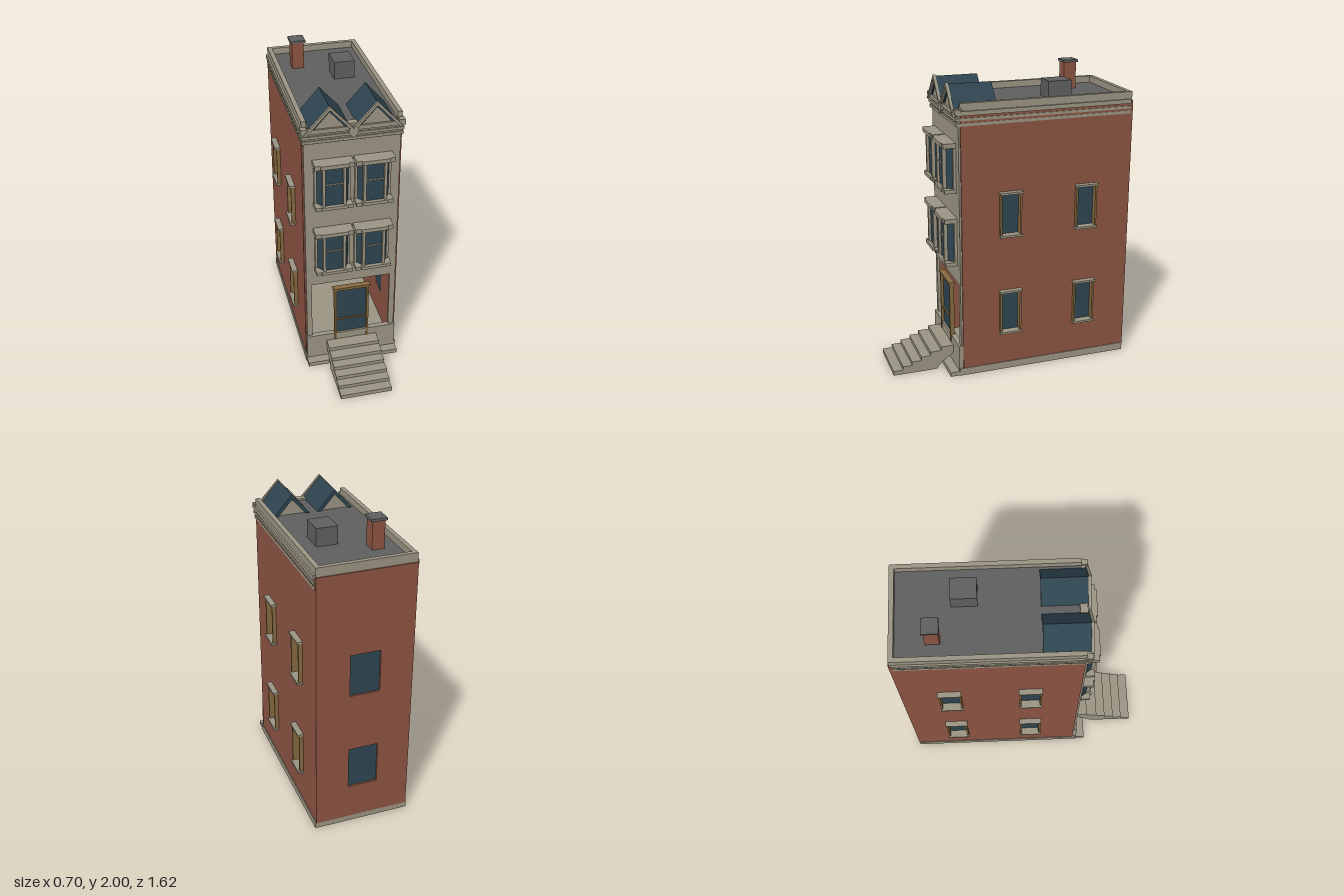
import * as THREE from 'three';

const material = (name, color) => {
  const m = new THREE.MeshStandardMaterial({ color });
  m.name = name;
  return m;
};

export function createModel() {
  const brick = material('brick', 0x8c5442);
  const stone = material('stone', 0x9a9482);
  const slate = material('roof grey', 0x5f5f5f);
  const glass = material('dark glass', 0x2e4450);
  const wood = material('wood', 0x85693f);

  const house = new THREE.Group();
  house.name = 'townhouse';

  const add = (parent, name, geometry, mat) => {
    const mesh = new THREE.Mesh(geometry, mat);
    mesh.name = name;
    parent.add(mesh);
    return mesh;
  };
  // box given by its minimum and maximum on each axis
  const box = (name, mat, x0, x1, y0, y1, z0, z1, parent = house) => {
    const mesh = add(parent, name, new THREE.BoxGeometry(x1 - x0, y1 - y0, z1 - z0), mat);
    mesh.position.set((x0 + x1) / 2, (y0 + y1) / 2, (z0 + z1) / 2);
    return mesh;
  };
  const polygon = (points) => new THREE.Shape(points.map(([x, y]) => new THREE.Vector2(x, y)));
  const rect = (x0, x1, y0, y1) => polygon([[x0, y0], [x1, y0], [x1, y1], [x0, y1]]);
  const extrude = (shape, depth) => new THREE.ExtrudeGeometry(shape, { depth, bevelEnabled: false });
  const pierced = (outline, holes) => {
    outline.holes.push(...holes);
    return outline;
  };

  // base slab, also the floor seen through the porch opening
  box('baseSlab', stone, -0.32, 0.32, 0, 0.05, -0.805, 0.385);
  box('frontFooting', stone, -0.315, 0.315, 0, 0.03, 0.38, 0.45);

  // hollow brick shell with window openings
  const floors = [[0.28, 0.57], [0.965, 1.25]];
  const sideCentres = [0.035, -0.49];
  for (const s of [1, -1]) {
    const holes = floors.flatMap(([y0, y1]) =>
      sideCentres.map((z) => rect(-z - 0.072, -z + 0.072, y0, y1)));
    const wall = add(house, s > 0 ? 'leftWall' : 'rightWall',
      extrude(pierced(rect(-0.36, 0.79, 0.05, 1.79), holes), 0.025), brick);
    wall.rotation.y = Math.PI / 2;
    wall.position.x = s > 0 ? 0.29 : -0.315;

    // side windows: recessed pane, wooden jambs, stone lintel and sill
    for (const [y0, y1] of floors) for (const z of sideCentres) {
      const win = new THREE.Group();
      win.name = 'sideWindow';
      house.add(win);
      const part = (name, mat, a, b, ya, yb, za, zb) =>
        box(name, mat, Math.min(s * a, s * b), Math.max(s * a, s * b), ya, yb, z + za, z + zb, win);
      part('pane', glass, 0.292, 0.3, y0, y1, -0.07, 0.07);
      for (const t of [-1, 1]) part('jamb', wood, 0.292, 0.341, y0, y1, t * 0.067 - 0.006, t * 0.067 + 0.006);
      part('lintel', stone, 0.292, 0.352, y1 - 0.004, y1 + 0.01, -0.077, 0.077);
      part('sill', stone, 0.292, 0.352, y0 - 0.008, y0 + 0.006, -0.077, 0.077);
    }
  }
  const backHoles = floors.map(([y0, y1]) => rect(-0.098, 0.098, y0, y1));
  add(house, 'backWall', extrude(pierced(rect(-0.315, 0.315, 0.04, 1.79), backHoles), 0.022), brick)
    .position.z = -0.808;
  for (const [y0, y1] of floors) box('backPane', glass, -0.1, 0.1, y0, y1, -0.796, -0.788);

  // stone facade with the wide porch opening
  add(house, 'facade', extrude(pierced(rect(-0.305, 0.305, 0.03, 1.8), [rect(-0.27, 0.267, 0.21, 0.64)]), 0.02), stone)
    .position.z = 0.352;
  box('facadeBase', stone, -0.31, 0.31, 0.03, 0.21, 0.36, 0.388);

  // front door
  const door = new THREE.Group();
  door.name = 'frontDoor';
  house.add(door);
  box('doorPane', glass, -0.108, 0.108, 0.2, 0.58, 0.368, 0.375, door);
  for (const s of [-1, 1]) box('doorJamb', wood, s * 0.111 - 0.007, s * 0.111 + 0.007, 0.158, 0.58, 0.363, 0.394, door);
  box('doorRail', wood, -0.108, 0.108, 0.318, 0.328, 0.366, 0.385, door);
  box('doorHead', wood, -0.12, 0.12, 0.573, 0.585, 0.36, 0.394, door);
  box('doorCap', wood, -0.128, 0.128, 0.583, 0.596, 0.36, 0.4, door);

  // stoop: stepped profile with a sloping underside
  const steps = [[0.808, 0.03], [0.743, 0.055], [0.68, 0.08], [0.614, 0.106], [0.55, 0.132], [0.475, 0.158]];
  const profile = [[0.39, 0.158], [0.39, 0.105], [0.49, 0.03], [0.505, 0], [0.808, 0]];
  steps.forEach(([z, y], i) => {
    profile.push([z, y]);
    if (i < steps.length - 1) profile.push([steps[i + 1][0], y]);
  });
  const stairs = add(house, 'frontSteps', extrude(polygon(profile.map(([z, y]) => [-z, y])), 0.35), stone);
  stairs.rotation.y = Math.PI / 2;
  stairs.position.x = -0.175;

  // canted bay windows, two on each upper floor
  for (const y of [0.765, 1.26]) for (const cx of [-0.13, 0.13]) {
    const bay = new THREE.Group();
    bay.name = 'bayWindow';
    bay.position.set(cx, y, 0);
    house.add(bay);
    const y0 = 0.025;
    const y1 = 0.295;
    box('sill', stone, -0.12, 0.12, 0, y0, 0.365, 0.45, bay);
    box('sillNose', stone, -0.085, 0.085, 0.008, y0 + 0.004, 0.44, 0.462, bay);
    box('lintel', stone, -0.124, 0.124, y1, 0.326, 0.365, 0.455, bay);
    box('lintelNose', stone, -0.088, 0.088, y1 + 0.005, 0.326, 0.45, 0.465, bay);
    // glazed core with slanted sides
    const core = add(bay, 'panes', extrude(polygon(
      [[-0.102, -0.365], [-0.102, -0.388], [-0.07, -0.432], [0.07, -0.432], [0.102, -0.388], [0.102, -0.365]]
        .map(([x, z]) => [x, z])), y1 - y0), glass);
    core.rotation.x = -Math.PI / 2;
    core.scale.y = 1;
    core.position.y = y0;
    for (const s of [-1, 1]) {
      box('frontPost', stone, s * 0.066 - 0.009, s * 0.066 + 0.009, y0, y1, 0.424, 0.449, bay);
      box('wallPost', stone, s * 0.108 - 0.008, s * 0.108 + 0.008, y0, y1, 0.365, 0.39, bay);
    }
    box('meetingRail', stone, -0.06, 0.06, 0.171, 0.18, 0.428, 0.44, bay);
  }

  // cornice bands along the front and sides
  for (const [w, y0, y1, z] of [[0.317, 1.705, 1.724, 0.388], [0.321, 1.738, 1.756, 0.391], [0.326, 1.772, 1.8, 0.395]]) {
    box('corniceBand', stone, -w, w, y0, y1, -0.79, z);
  }
  box('frieze', stone, -0.312, 0.312, 1.7, 1.8, 0.355, 0.38);

  // roof deck and parapet
  box('roofDeck', slate, -0.29, 0.29, 1.78, 1.804, -0.78, 0.365);
  for (const s of [-1, 1]) {
    box('sideParapet', stone, s * 0.299 - 0.015, s * 0.299 + 0.015, 1.79, 1.848, -0.8, 0.362);
    box('cornerBlock', stone, s * 0.305 - 0.018, s * 0.305 + 0.018, 1.79, 1.81, 0.35, 0.4);
  }
  box('backParapet', stone, -0.314, 0.314, 1.785, 1.848, -0.8, -0.77);

  // twin glazed gables over the front
  const chevron = (w, apex, base, t) => polygon(
    [[-w, base], [-w + t, base], [0, apex - t * (apex - base) / w], [w - t, base], [w, base], [0, apex]]);
  for (const cx of [-0.146, 0.146]) {
    const gable = new THREE.Group();
    gable.name = 'gable';
    gable.position.x = cx;
    house.add(gable);
    add(gable, 'gableBody', extrude(polygon([[-0.125, 1.77], [0.125, 1.77], [0, 1.905]]), 0.26), stone)
      .position.z = 0.122;
    add(gable, 'gableRoof', extrude(chevron(0.138, 1.94, 1.785, 0.03), 0.285), glass).position.z = 0.105;
    add(gable, 'gableRake', extrude(chevron(0.168, 1.948, 1.765, 0.022), 0.018), stone).position.z = 0.388;
  }
  // block in the valley and pointed drop between the gables
  box('valleyBlock', stone, -0.03, 0.03, 1.77, 1.815, 0.338, 0.385);
  add(house, 'valleyDrop', extrude(polygon([[0, 1.725], [0.03, 1.755], [0.03, 1.79], [-0.03, 1.79], [-0.03, 1.755]]), 0.02), stone)
    .position.z = 0.386;

  // chimney and roof hatch
  box('chimney', brick, -0.195, -0.115, 1.8, 1.986, -0.587, -0.5);
  box('chimneyCap', slate, -0.206, -0.104, 1.984, 2, -0.596, -0.492);
  box('roofHatch', slate, 0.04, 0.177, 1.8, 1.921, -0.432, -0.272);

  return house;
}
